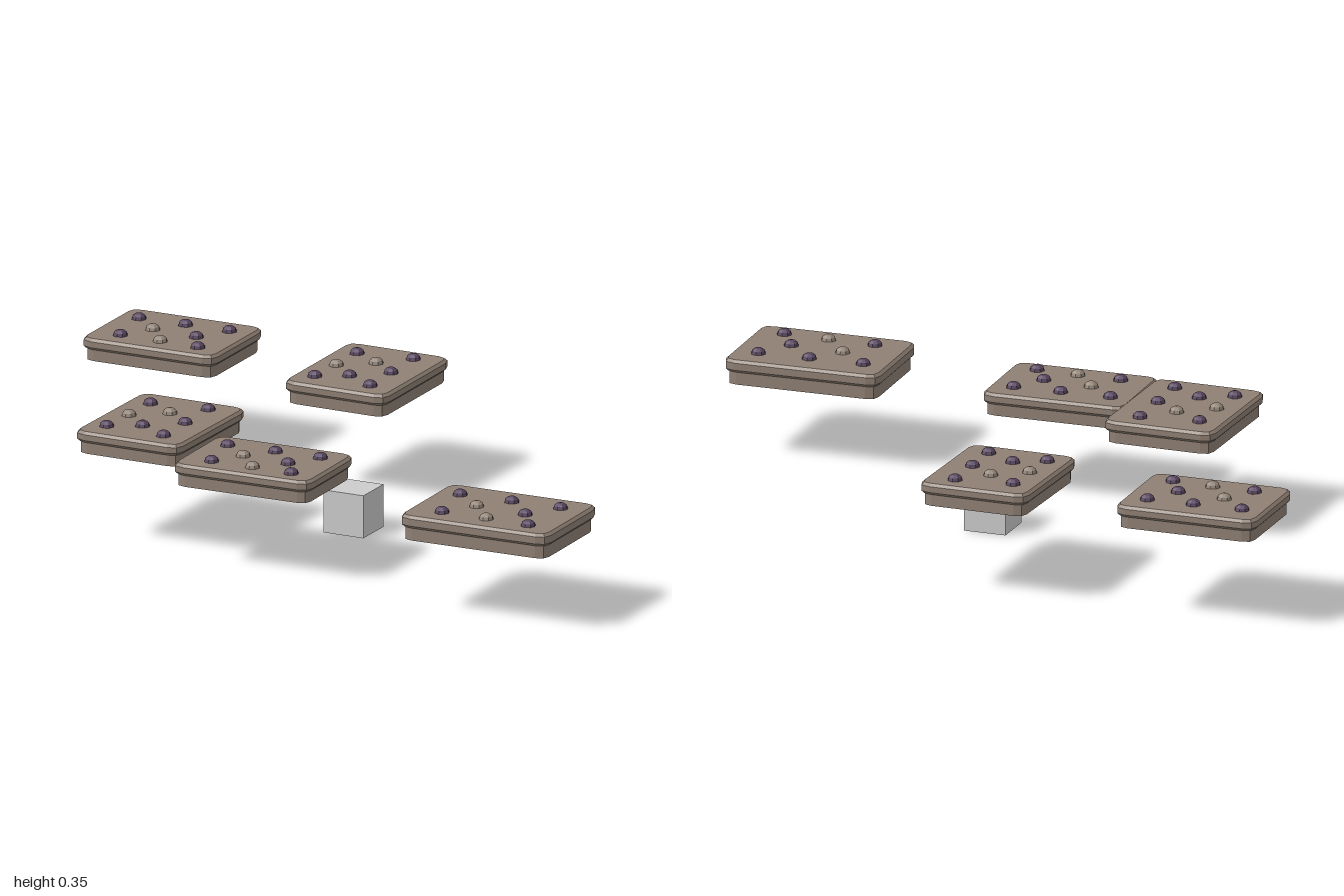
import * as THREE from 'three';

const stone = new THREE.MeshStandardMaterial({ color: 0x8f8074, flatShading: true });
stone.name = 'taupeStone';
const purple = new THREE.MeshStandardMaterial({ color: 0x57455f, flatShading: true });
purple.name = 'darkPurple';
const pale = new THREE.MeshStandardMaterial({ color: 0x94867a, flatShading: true });
pale.name = 'paleStud';
const grey = new THREE.MeshStandardMaterial({ color: 0xcccccc, flatShading: true });
grey.name = 'lightGrey';

// Stud layout as fractions of the half width and half depth; 1 marks a pale stud
const STUDS = [
  [-0.68, -0.46, 0], [0.01, -0.48, 0], [0.66, -0.5, 0],
  [-0.29, 0.01, 1], [0.39, 0.08, 0],
  [-0.56, 0.56, 0], [0.04, 0.57, 1], [0.62, 0.61, 0],
];

// Horizontal slab with rounded corners and bevelled edges, standing on y = 0
function slab(w, d, h, r, bevel) {
  const x = w / 2, y = d / 2;
  const s = new THREE.Shape();
  s.moveTo(-x + r, -y);
  s.lineTo(x - r, -y);
  s.quadraticCurveTo(x, -y, x, -y + r);
  s.lineTo(x, y - r);
  s.quadraticCurveTo(x, y, x - r, y);
  s.lineTo(-x + r, y);
  s.quadraticCurveTo(-x, y, -x, y - r);
  s.lineTo(-x, -y + r);
  s.quadraticCurveTo(-x, -y, -x + r, -y);
  const g = new THREE.ExtrudeGeometry(s, {
    depth: h - 2 * bevel, curveSegments: 2, bevelEnabled: bevel > 0,
    bevelThickness: bevel, bevelSize: bevel, bevelOffset: -bevel, bevelSegments: 1,
  });
  return g.rotateX(-Math.PI / 2).translate(0, bevel, 0);
}

function add(parent, name, geometry, material) {
  const m = new THREE.Mesh(geometry, material);
  m.name = name;
  parent.add(m);
  return m;
}

function tile(w, d, h) {
  const g = new THREE.Group();
  g.name = 'studdedTile';
  // Lower body and the wider lip above it
  add(g, 'tileBody', slab(w - 0.018, d - 0.018, h * 0.52, 0.03, 0), stone);
  add(g, 'tileLip', slab(w, d, h * 0.5, 0.035, 0.008), stone).position.y = h * 0.5;
  // Flattened studs half sunk in the top
  const stud = new THREE.SphereGeometry(0.022, 8, 6).scale(1, 0.82, 1);
  for (const [u, v, isPale] of STUDS) {
    const m = add(g, isPale ? 'paleStud' : 'purpleStud', stud, isPale ? pale : purple);
    m.position.set(u * w / 2, h, v * d / 2);
  }
  return g;
}

export function createModel() {
  const model = new THREE.Group();
  model.name = 'floatingTiles';
  const turn = -Math.PI / 2;

  // Tiles: width, depth, height, x, base y, z, yaw, tilt
  const tiles = [
    [0.424, 0.327, 0.067, -0.785, 0.268, -0.504, 0.003, 0],
    [0.408, 0.328, 0.067, -0.143, 0.261, -0.46, turn - 0.015, 0.015],
    [0.424, 0.336, 0.066, -0.433, 0.268, 0.259, turn - 0.012, 0],
    [0.432, 0.308, 0.067, -0.035, 0.242, 0.396, 0.018, 0],
    [0.468, 0.342, 0.074, 0.758, 0.219, 0.483, 0.018, 0],
  ];
  for (const [w, d, h, x, y, z, yaw, tilt] of tiles) {
    const t = tile(w, d, h);
    t.position.set(x, y, z);
    t.rotation.set(tilt, yaw, 0);
    model.add(t);
  }

  // Small cube at the base
  const cube = add(model, 'baseCube', new THREE.BoxGeometry(0.126, 0.126, 0.126), grey);
  cube.position.set(0.045, 0.063, -0.01);
  return model;
}
